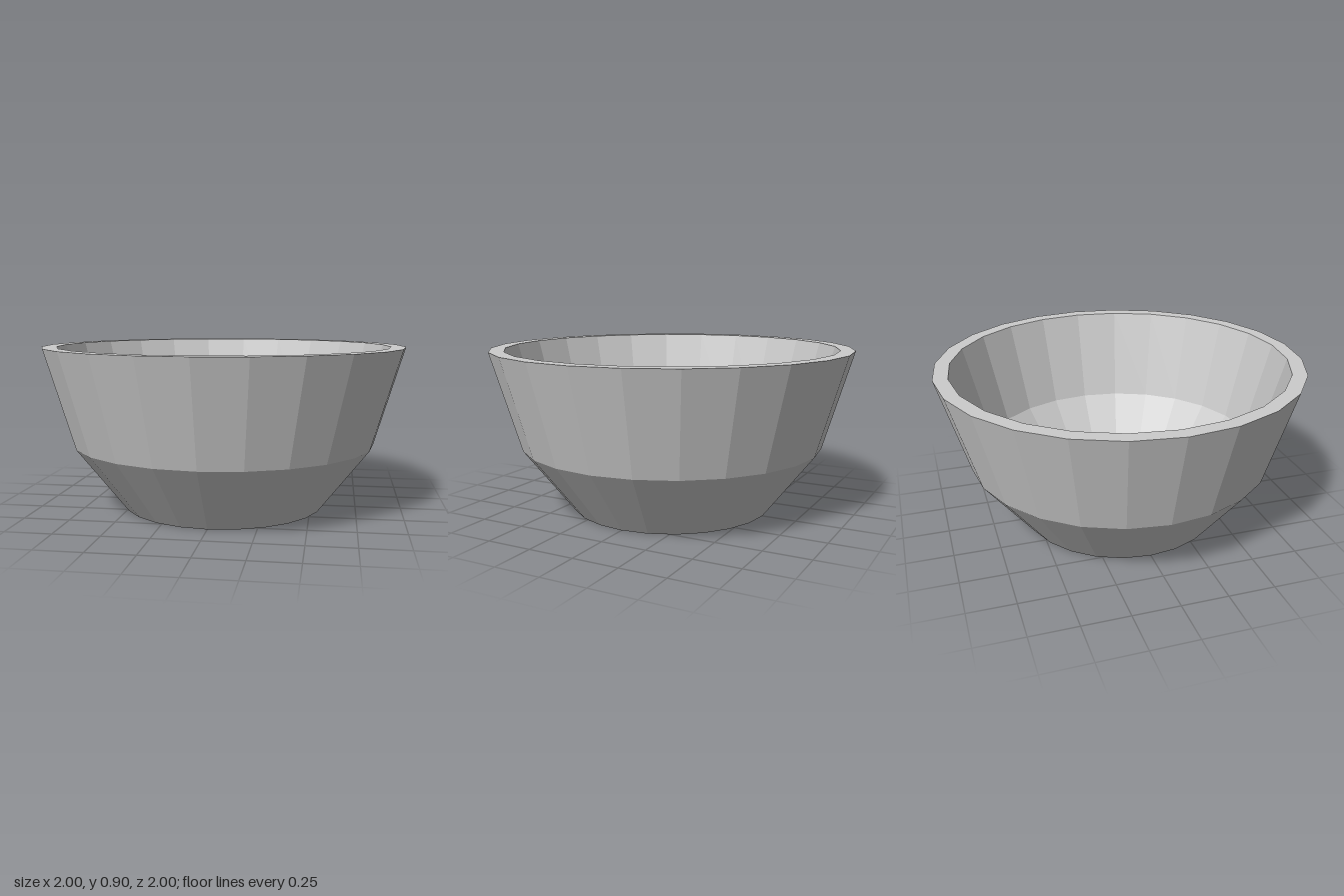
import * as THREE from 'three';

export function createModel() {
  const group = new THREE.Group();
  group.name = 'bowl';

  const grey = new THREE.MeshStandardMaterial({ color: 0xcccccc, flatShading: true });
  grey.name = 'grey';

  // Closed wall section: small drain hole, outer side, rim, inner side, floor
  const profile = [
    [0.02, 0.06], [0.02, 0], [0.56, 0], [0.84, 0.36], [1, 0.9],
    [0.92, 0.9], [0.78, 0.39], [0.52, 0.06], [0.02, 0.06],
  ].map(([r, y]) => new THREE.Vector2(r, y));

  // Faceted bowl with 24 sides
  const bowl = new THREE.Mesh(new THREE.LatheGeometry(profile, 24), grey);
  bowl.name = 'bowlBody';
  group.add(bowl);

  return group;
}
